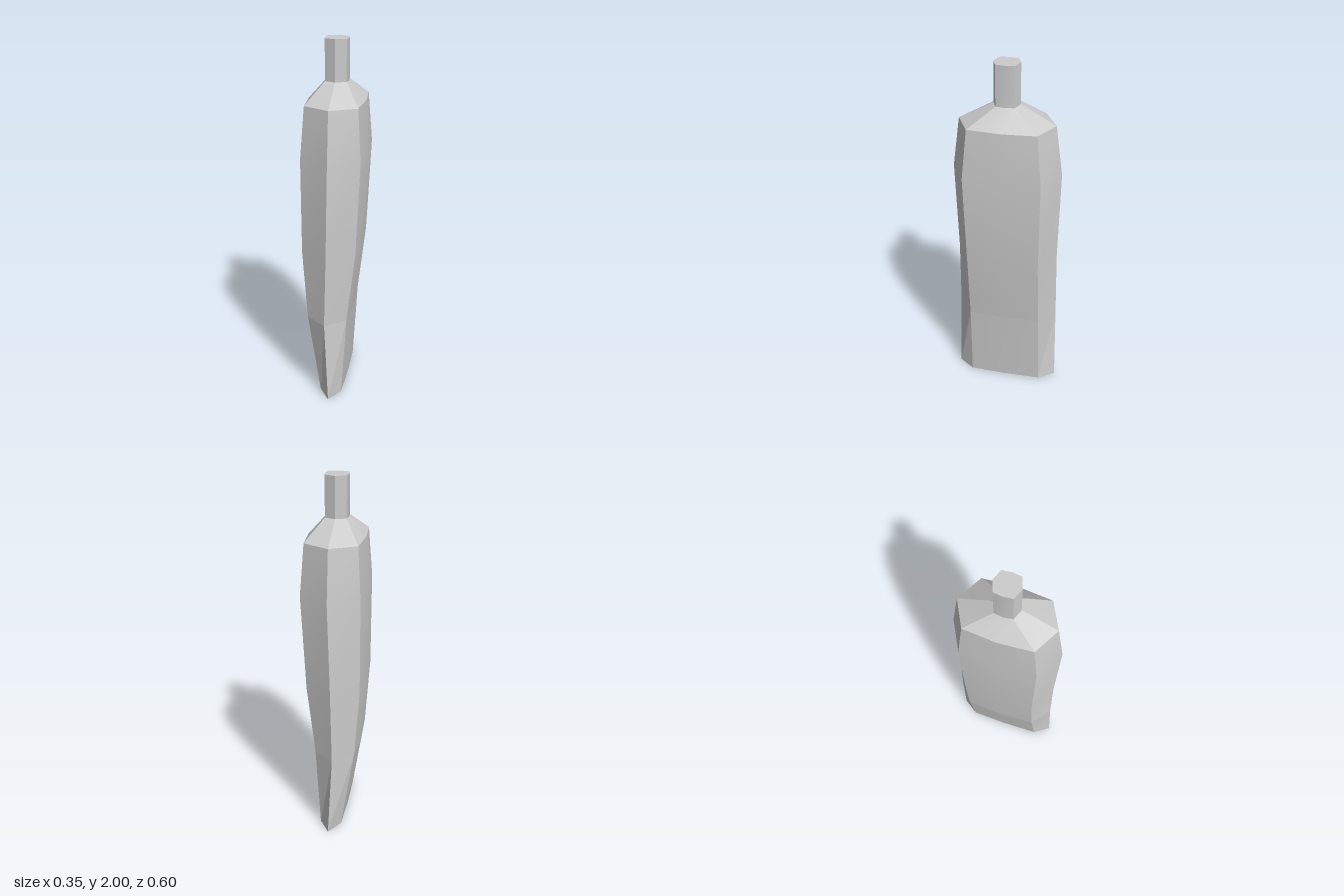
import * as THREE from 'three';
import { toCreasedNormals } from 'three/addons/utils/BufferGeometryUtils.js';

// Eight-sided cross-section: height, x offset, half width, half depth, corner half width and depth
const ring = ([y, cx, w, d, cw, cd]) => [
  [0, d], [cw, cd], [w, 0], [cw, -cd], [0, -d], [-cw, -cd], [-w, 0], [-cw, cd],
].map(([x, z]) => [cx + x, y, z]);

// Skin a stack of cross-sections, optionally closing the ends
function loft(sections, capBottom, capTop) {
  const rings = sections.map(ring);
  const n = 8;
  const pos = rings.flat(2);
  const index = [];
  for (let r = 0; r < rings.length - 1; r++) {
    for (let i = 0; i < n; i++) {
      const a = r * n + i, b = r * n + (i + 1) % n;
      index.push(a, b, b + n, a, b + n, a + n);
    }
  }
  const top = (rings.length - 1) * n;
  for (let i = 1; i < n - 1; i++) {
    if (capBottom) index.push(0, i + 1, i);
    if (capTop) index.push(top, top + i, top + i + 1);
  }
  const geometry = new THREE.BufferGeometry();
  geometry.setAttribute('position', new THREE.Float32BufferAttribute(pos, 3));
  geometry.setIndex(index);
  return toCreasedNormals(geometry, 0.3);
}

export function createModel() {
  const group = new THREE.Group();
  const material = new THREE.MeshStandardMaterial({ color: 0xcccccc });

  const base = [0, 0, 0.065, 0.3, 0.06, 0.21];
  const lower = [0.48, -0.022, 0.122, 0.288, 0.11, 0.203];
  const middle = [0.88, -0.0125, 0.16, 0.281, 0.146, 0.199];
  const upper = [1.41, 0, 0.173, 0.291, 0.157, 0.206];
  const shoulder = [1.685, 0, 0.152, 0.253, 0.138, 0.18];
  const neckBase = [1.785, 0, 0.062, 0.069, 0.056, 0.048];
  const neckTop = [2, ...neckBase.slice(1)];

  const parts = {
    taperedEnd: loft([base, lower], true, false),
    body: loft([lower, middle, upper, shoulder], false, false),
    shoulder: loft([shoulder, neckBase], false, false),
    neck: loft([neckBase, neckTop], false, true),
  };
  for (const [name, geometry] of Object.entries(parts)) {
    const mesh = new THREE.Mesh(geometry, material);
    mesh.name = name;
    group.add(mesh);
  }
  return group;
}
